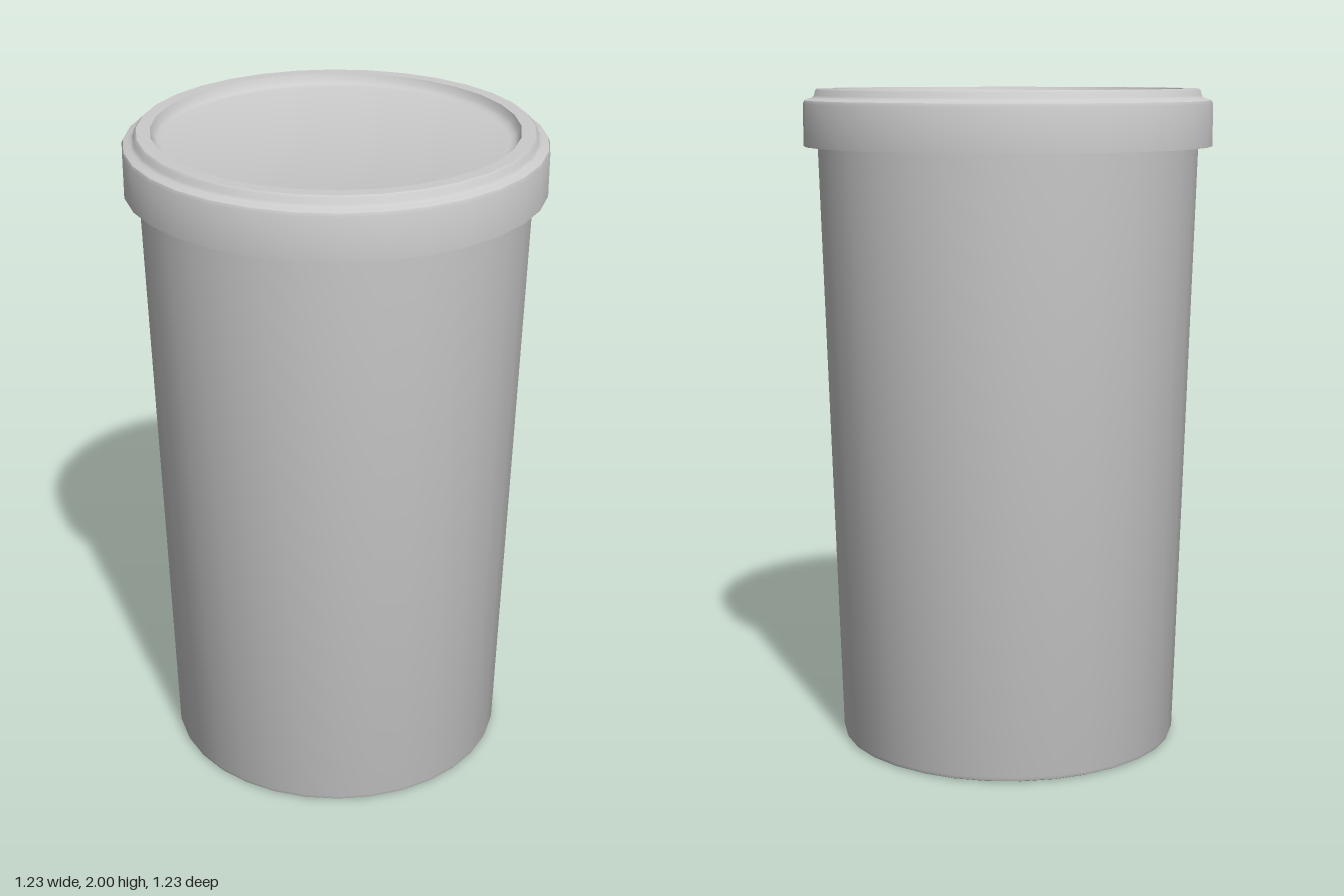
import * as THREE from 'three';
import { toCreasedNormals } from 'three/addons/utils/BufferGeometryUtils.js';

const SIDES = 32;
const material = new THREE.MeshStandardMaterial({ color: 0xcccccc });

// Turns a [radius, height] profile, listed from bottom to top, around the y axis
function turned(name, profile) {
  const points = profile.map(([r, y]) => new THREE.Vector2(r, y));
  const geometry = toCreasedNormals(new THREE.LatheGeometry(points, SIDES), 0.7);
  const mesh = new THREE.Mesh(geometry, material);
  mesh.name = name;
  return mesh;
}

export function createModel() {
  const group = new THREE.Group();
  group.name = 'liddedContainer';

  // Tapered tub with a softened bottom edge; its top is hidden under the lid
  group.add(turned('tub', [
    [0, 0], [0.508, 0], [0.516, 0.004], [0.52, 0.015],
    [0.575, 1.9], [0, 1.9],
  ]));

  // Lid: overhanging skirt, stepped shoulder, raised rim and sunken panel
  group.add(turned('lid', [
    [0.56, 1.83], [0.615, 1.83], [0.615, 1.955], [0.611, 1.965], [0.6, 1.97],
    [0.588, 1.973], [0.581, 1.98], [0.578, 1.994], [0.572, 2],
    [0.532, 2], [0.525, 1.982], [0.515, 1.971], [0.5, 1.967], [0, 1.967],
  ]));

  return group;
}
